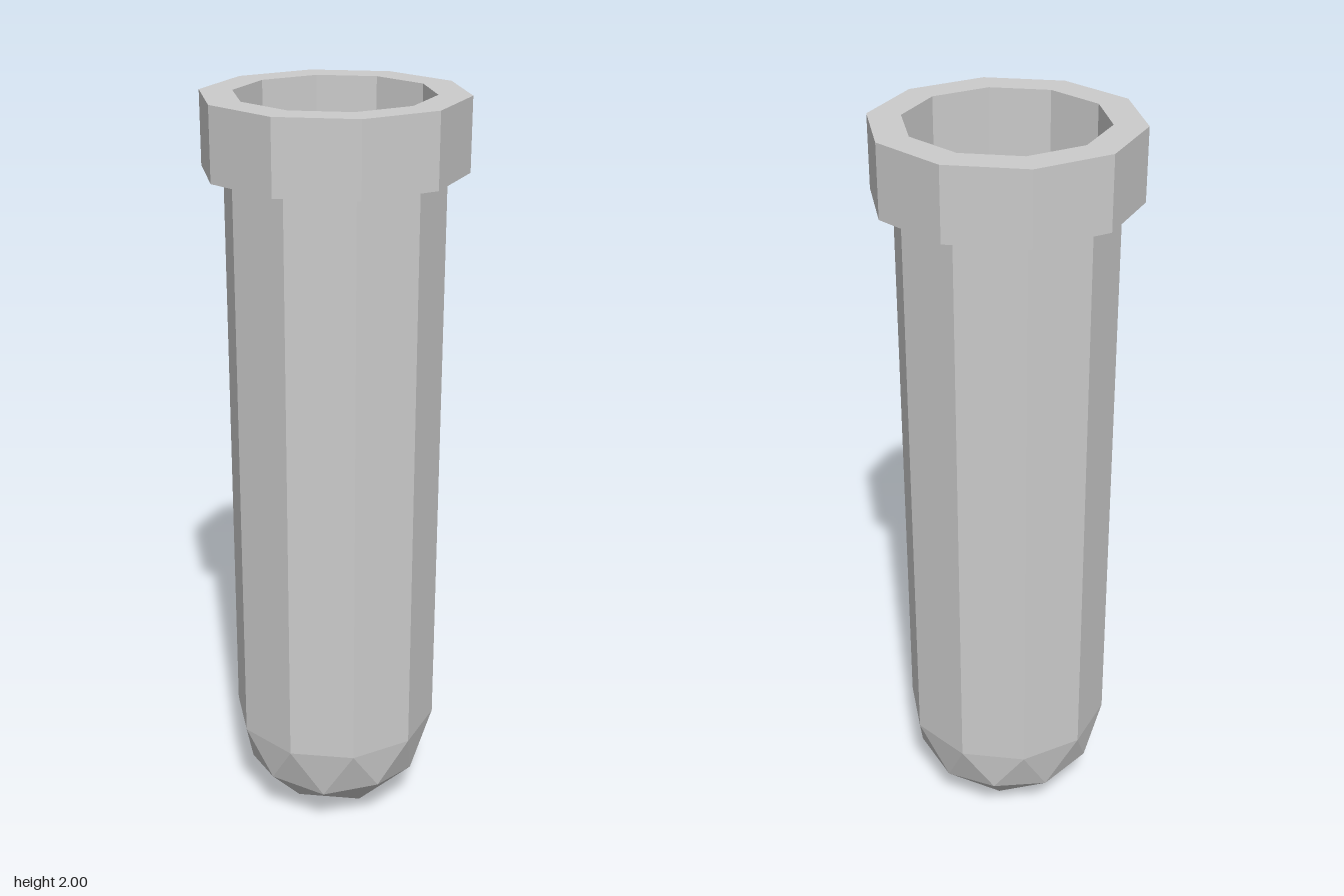
import * as THREE from 'three';

const SIDES = 10;
const OUTER = 0.278, INNER = 0.25, RIM = 0.333;
const DOME_Y = 0.278, RIM_Y = 1.815, TOP = 2;

const material = new THREE.MeshStandardMaterial({ color: 0xcccccc, flatShading: true });

function lathe(name, profile) {
  const points = profile.map(([r, y]) => new THREE.Vector2(r, y));
  const mesh = new THREE.Mesh(new THREE.LatheGeometry(points, SIDES), material);
  mesh.name = name;
  return mesh;
}

// Lower half of a once-subdivided icosahedron standing on its pole
function dome(name, radius, inward) {
  const at = (y, degrees) => {
    const t = THREE.MathUtils.degToRad(degrees), r = Math.sqrt(1 - y * y);
    return [r * Math.cos(t) * radius, DOME_Y + y * radius, r * Math.sin(t) * radius];
  };
  const positions = [];
  const face = (a, b, c) => positions.push(...a, ...(inward ? c : b), ...(inward ? b : c));
  const pole = at(-1, 0);
  for (let k = 0; k < 5; k++) {
    const t = 180 + 72 * k;
    const a = at(-0.8507, t), aNext = at(-0.8507, t + 72);
    const b = at(-0.4472, t), bNext = at(-0.4472, t + 72);
    const mid = at(-0.5257, t + 36);
    const e0 = at(0, t - 18), e1 = at(0, t + 18), e2 = at(0, t + 54);
    face(pole, a, aNext);
    face(a, b, mid);
    face(a, mid, aNext);
    face(aNext, mid, bNext);
    face(b, e0, e1);
    face(b, e1, mid);
    face(mid, e1, e2);
    face(mid, e2, bNext);
  }
  const geometry = new THREE.BufferGeometry();
  geometry.setAttribute('position', new THREE.Float32BufferAttribute(positions, 3));
  geometry.computeVertexNormals();
  const mesh = new THREE.Mesh(geometry, material);
  mesh.name = name;
  return mesh;
}

export function createModel() {
  const model = new THREE.Group();
  model.name = 'testTube';

  // Tube wall, outside and inside, with a small ledge under the rim
  model.add(lathe('tubeWall', [
    [OUTER, DOME_Y], [OUTER, RIM_Y], [0.275, RIM_Y],
    [0.275, 1.79], [INNER, 1.79], [INNER, DOME_Y],
  ]));

  // Thick collar around the open mouth
  model.add(lathe('rim', [
    [INNER, RIM_Y], [RIM, RIM_Y], [RIM, TOP], [INNER, TOP], [INNER, RIM_Y],
  ]));

  // Faceted round bottom
  model.add(dome('outerBottom', OUTER, false));
  model.add(dome('innerBottom', INNER, true));

  return model;
}
